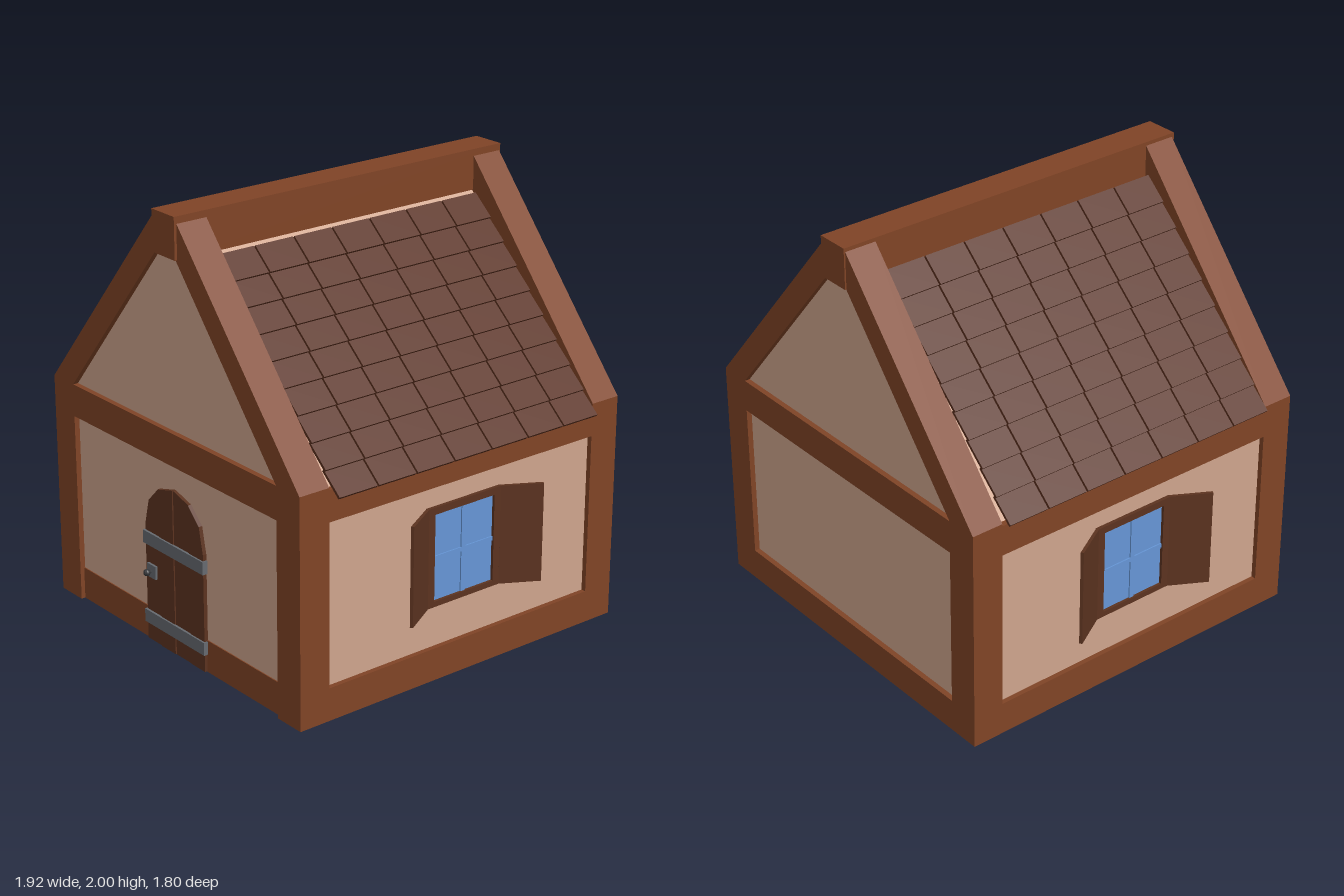
import * as THREE from 'three';

const mat = (color) => new THREE.MeshStandardMaterial({ color, flatShading: true });
const wood = mat(0x804426);
const plaster = mat(0xcfa58d);
const darkWood = mat(0x5c3320);
const tileWood = mat(0x5a2f1e);
const glass = mat(0x6696d6);
const metal = mat(0x666a70);
const iron = mat(0x35373a);

// Box given by its extents along each axis
function block(name, material, [x0, x1], [y0, y1], [z0, z1]) {
  const mesh = new THREE.Mesh(new THREE.BoxGeometry(x1 - x0, y1 - y0, z1 - z0), material);
  mesh.position.set((x0 + x1) / 2, (y0 + y1) / 2, (z0 + z1) / 2);
  mesh.name = name;
  return mesh;
}

// Outline in x and y, extruded from z0 to z1
function slab(name, material, points, z0, z1) {
  const shape = new THREE.Shape(points.map(([x, y]) => new THREE.Vector2(x, y)));
  const geometry = new THREE.ExtrudeGeometry(shape, { depth: z1 - z0, bevelEnabled: false });
  geometry.translate(0, 0, z0);
  const mesh = new THREE.Mesh(geometry, material);
  mesh.name = name;
  return mesh;
}

const FRONT = 0.865, BACK = -0.89, SIDE = 0.875, BEAM = 0.15, EAVE = 1.04;

function createFrame() {
  const frame = new THREE.Group();
  frame.name = 'timberFrame';
  const ends = [[FRONT - BEAM, FRONT], [BACK, BACK + BEAM]];
  for (const s of [-1, 1]) {
    const xs = s > 0 ? [SIDE - BEAM, SIDE] : [-SIDE, BEAM - SIDE];
    for (const z of ends) {
      frame.add(block('cornerPost', wood, xs, [0, EAVE], z));
      // Rafter tapering towards the ridge
      const rafter = [[SIDE, EAVE], [0.07, 1.985], [0.07, 1.815], [SIDE - BEAM, EAVE]];
      frame.add(slab('rafter', wood, rafter.map(([x, y]) => [s * x, y]), z[0], z[1]));
    }
    const zs = [BACK + BEAM, FRONT - BEAM];
    frame.add(block('sideSill', wood, xs, [0, BEAM], zs));
    frame.add(block('sideTopBeam', wood, xs, [0.89, 1.03], zs));
  }
  const inner = [BEAM - SIDE, SIDE - BEAM];
  frame.add(block('frontSill', wood, inner, [0, BEAM], [FRONT - BEAM, FRONT - 0.02]));
  frame.add(block('backSill', wood, inner, [0, BEAM], ends[1]));
  for (const z of ends) frame.add(block('gableBeam', wood, inner, [0.89, EAVE], z));
  frame.add(block('ridgeBeam', wood, [-0.072, 0.084], [1.815, 2], [-0.897, 0.877]));
  return frame;
}

// Overlapping tiles on one slope, laid from the eave upwards
function createTiles(s, lowX, lowY, stepX, stepY) {
  const tiles = new THREE.Group();
  tiles.name = s > 0 ? 'leftRoofTiles' : 'rightRoofTiles';
  const length = 0.135, thick = 0.013;
  const angle = Math.atan2(stepY, stepX) - 0.085;
  const c = Math.cos(angle), n = Math.sin(angle);
  const geometry = new THREE.BoxGeometry(length, thick, 0.196);
  for (let row = 0; row < 9; row++) {
    for (let col = 0; col < 7; col++) {
      const tile = new THREE.Mesh(geometry, tileWood);
      tile.name = 'roofTile';
      tile.position.set(
        s * (lowX - row * stepX - c * length / 2 + n * thick / 2),
        lowY + row * stepY + n * length / 2 + c * thick / 2,
        0.603 - col * 0.2045);
      tile.rotation.z = -s * angle;
      tiles.add(tile);
    }
  }
  return tiles;
}

function createDoor() {
  const door = new THREE.Group();
  door.name = 'door';
  // Planks with a shared arched top, parted by narrow grooves
  const top = [[-0.212, 0.55], [-0.182, 0.67], [-0.106, 0.743], [0, 0.772], [0.11, 0.743], [0.185, 0.67], [0.214, 0.55]];
  const planks = [[0, 1, 2], [2, 3], [3, 4], [4, 5, 6]];
  planks.forEach((ids, i) => {
    const arch = ids.map((k) => top[k]);
    const x0 = arch[0][0], x1 = arch[arch.length - 1][0];
    const outline = [[x0, 0.003], [x1 - 0.004, 0.003], ...arch.map(([x, y]) => [x === x1 ? x - 0.004 : x, y]).reverse()];
    door.add(slab('doorPlank', darkWood, outline, 0.82, i % 2 ? 0.858 : 0.855));
  });
  for (const y of [0.085, 0.462]) {
    door.add(block('doorStrap', metal, [-0.217, 0.217], [y, y + 0.06], [0.83, 0.866]));
  }
  door.add(block('lockPlate', metal, [-0.193, -0.13], [0.312, 0.374], [0.84, 0.866]));
  const stem = new THREE.Mesh(new THREE.CylinderGeometry(0.006, 0.006, 0.03, 8), iron);
  stem.name = 'knobStem';
  stem.rotation.x = Math.PI / 2;
  stem.position.set(-0.163, 0.343, 0.875);
  const knob = new THREE.Mesh(new THREE.SphereGeometry(0.016, 10, 8), iron);
  knob.name = 'doorKnob';
  knob.position.set(-0.163, 0.343, 0.888);
  door.add(stem, knob);
  return door;
}

// Window facing +x, centred on z = 0
function createWindow() {
  const win = new THREE.Group();
  win.name = 'window';
  const y0 = 0.34, y1 = 0.795, w = 0.205, bar = 0.04;
  const depth = [0.83, 0.868];
  win.add(block('windowSill', darkWood, depth, [y0, y0 + 0.025], [-w, w]));
  win.add(block('windowHead', darkWood, depth, [y1 - 0.032, y1], [-w, w]));
  win.add(block('windowPane', glass, [0.83, 0.855], [y0 + 0.02, y1 - 0.03], [-w + bar, w - bar]));
  win.add(block('crossBar', glass, [0.84, 0.861], [0.55, 0.57], [-w + bar, w - bar]));
  win.add(block('uprightBar', glass, [0.84, 0.861], [y0 + 0.02, y1 - 0.03], [-0.011, 0.011]));
  for (const s of [-1, 1]) {
    const edge = s > 0 ? [w - bar, w] : [-w, bar - w];
    win.add(block('windowJamb', darkWood, depth, [y0, y1], edge));
    // Shutter swung half open about its outer edge
    const hinge = new THREE.Group();
    hinge.name = 'shutterHinge';
    hinge.position.set(0.862, 0, s * (w - 0.002));
    hinge.rotation.y = s * 0.52;
    hinge.add(block('shutter', darkWood, [-0.007, 0.007], [y0, y1], s > 0 ? [0, 0.187] : [-0.187, 0]));
    win.add(hinge);
  }
  win.position.z = -0.02;
  return win;
}

export function createModel() {
  const house = new THREE.Group();
  house.name = 'house';

  // Plaster body, set back behind the timber
  const body = [[-0.852, 0.015], [0.852, 0.015], [0.852, 1.025], [0.07, 1.82], [-0.07, 1.82], [-0.852, 1.025]];
  house.add(slab('plasterBody', plaster, body, BACK + 0.025, FRONT - 0.025));

  house.add(createFrame());
  house.add(createTiles(1, 0.915, 1.0, 0.0875, 0.0895));
  house.add(createTiles(-1, 0.895, 1.03, 0.087, 0.0915));
  house.add(createDoor());

  const leftWindow = createWindow();
  const rightWindow = createWindow();
  rightWindow.rotation.y = Math.PI;
  house.add(leftWindow, rightWindow);
  return house;
}
